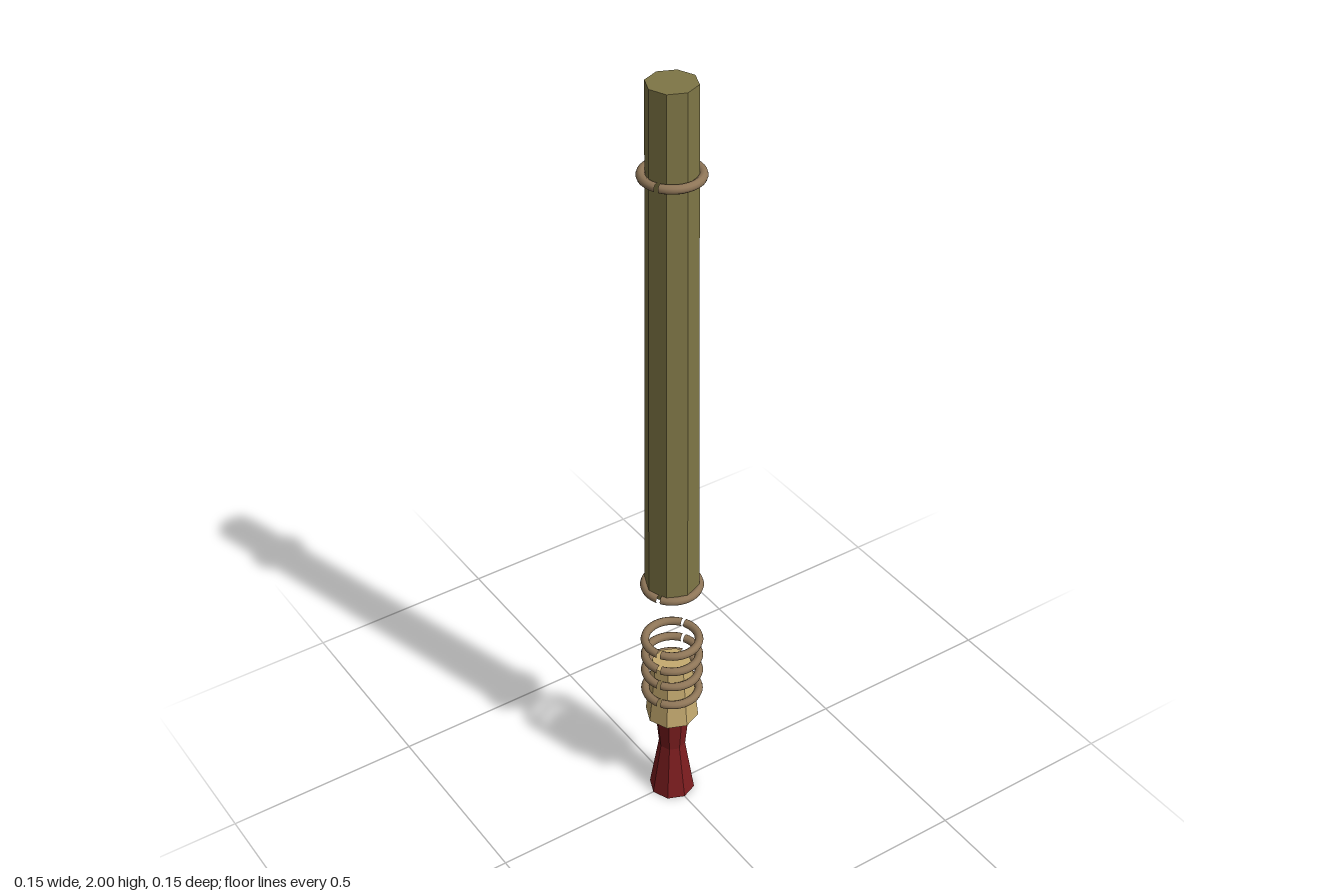
import * as THREE from 'three';

function material(name, color, options = {}) {
  const m = new THREE.MeshStandardMaterial({ color, ...options });
  m.name = name;
  return m;
}

export function createModel() {
  const group = new THREE.Group();
  group.name = 'handle';
  const olive = material('olive', 0x7f7646, { flatShading: true });
  const tan = material('tan', 0xc6ab70, { flatShading: true });
  const red = material('dark red', 0x7c1d1f, { flatShading: true });
  const brown = material('brown', 0x8f7658);

  // Eight-sided closed part turned from a [radius, y] profile, bottom to top
  function turned(name, mat, profile) {
    const points = profile.map(([r, y]) => new THREE.Vector2(r, y));
    points.unshift(new THREE.Vector2(0, profile[0][1]));
    points.push(new THREE.Vector2(0, profile[profile.length - 1][1]));
    const mesh = new THREE.Mesh(new THREE.LatheGeometry(points, 8), mat);
    mesh.name = name;
    group.add(mesh);
  }

  turned('shaft', olive, [[0.067, 0.665], [0.058, 2]]);
  turned('collar', tan, [[0.067, 0.255], [0.05, 0.42]]);
  turned('foot', red, [[0.058, 0], [0.034, 0.15], [0.044, 0.255]]);

  // Split binding rings: two half hoops with a small gap on either side
  const gap = THREE.MathUtils.degToRad(7);
  const hoop = new THREE.TorusGeometry(0.0665, 0.0105, 10, 28, Math.PI - gap);
  hoop.rotateZ(Math.PI / 6 + gap / 2);
  hoop.rotateX(-Math.PI / 2);
  for (const y of [0.335, 0.395, 0.445, 0.495, 0.67, 1.787]) {
    const ring = new THREE.Group();
    ring.name = 'ring';
    ring.position.y = y;
    for (const turn of [0, Math.PI]) {
      const half = new THREE.Mesh(hoop, brown);
      half.name = 'ringHalf';
      half.rotation.y = turn;
      ring.add(half);
    }
    group.add(ring);
  }
  return group;
}
